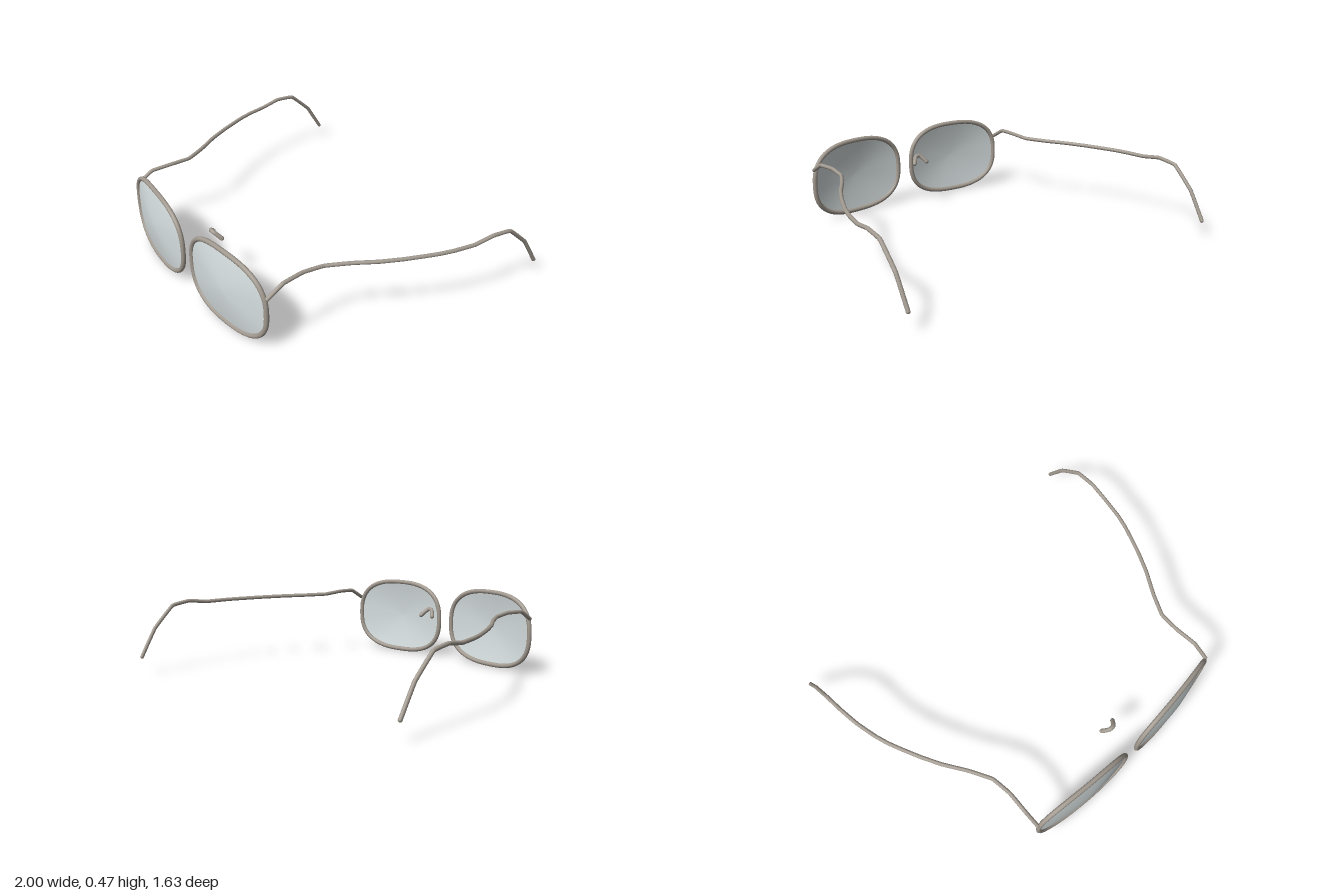
import * as THREE from 'three';

const V = (x, y, z) => new THREE.Vector3(x, y, z);

// Outline of one eye: rounded superellipse, wrapped back towards the temples
const CX = 0.355, CY = 0.236, HALF_W = 0.307, HALF_H = 0.222;
const wrapZ = x => 0.796 - 0.06 * Math.pow(Math.max(0, (x - 0.045) / 0.62), 2);
function outline(t, scale = 1) {
  const p = 2 / 2.6, c = Math.cos(t), s = Math.sin(t);
  return [
    CX + scale * HALF_W * Math.sign(c) * Math.pow(Math.abs(c), p),
    CY + scale * HALF_H * Math.sign(s) * Math.pow(Math.abs(s), p),
  ];
}

// Round wire along points, with rounded ends when open
function wire(name, points, radius, segments, material, { closed = false, tension = 0.5 } = {}) {
  const group = new THREE.Group();
  group.name = name;
  const curve = new THREE.CatmullRomCurve3(points, closed, 'catmullrom', tension);
  const tube = new THREE.Mesh(new THREE.TubeGeometry(curve, segments, radius, 10, closed), material);
  tube.name = name + 'Wire';
  group.add(tube);
  if (!closed) {
    for (const end of [points[0], points[points.length - 1]]) {
      const cap = new THREE.Mesh(new THREE.SphereGeometry(radius, 10, 8), material);
      cap.name = name + 'End';
      cap.position.copy(end);
      group.add(cap);
    }
  }
  return group;
}

// Domed lens made from rings growing from the centre to the rim
function lensGeometry(side) {
  const rings = 10, n = 64, positions = [], index = [];
  for (let r = 0; r <= rings; r++) {
    for (let i = 0; i < n; i++) {
      const s = r / rings;
      const [x, y] = outline((i / n) * Math.PI * 2, s);
      positions.push(side * x, y, wrapZ(x) + 0.028 * (1 - Math.pow(s, 1.6)));
    }
  }
  for (let r = 0; r < rings; r++) {
    for (let i = 0; i < n; i++) {
      const j = (i + 1) % n;
      const a = r * n + i, b = r * n + j, c = a + n, d = b + n;
      if (side > 0) index.push(a, c, d, a, d, b);
      else index.push(a, d, c, a, b, d);
    }
  }
  const g = new THREE.BufferGeometry();
  g.setAttribute('position', new THREE.Float32BufferAttribute(positions, 3));
  g.setIndex(index);
  g.computeVertexNormals();
  return g;
}

// Temple path on the left side, from the rim back to the ear hook
const TEMPLE = [
  [0.665, 0.335, 0.732], [0.665, 0.388, 0.64], [0.655, 0.395, 0.515], [0.665, 0.388, 0.395],
  [0.727, 0.388, 0.27], [0.8, 0.388, 0.15], [0.854, 0.388, 0.04], [0.896, 0.388, -0.06],
  [0.927, 0.388, -0.14], [0.95, 0.388, -0.22], [0.973, 0.388, -0.34], [0.985, 0.404, -0.455],
  [0.989, 0.388, -0.575], [0.989, 0.268, -0.705], [0.989, 0.11, -0.803],
];

export function createModel() {
  const metal = new THREE.MeshStandardMaterial({ color: 0xa29a90 });
  metal.name = 'frameMetal';
  const glass = new THREE.MeshStandardMaterial({ color: 0xd6dedf, side: THREE.DoubleSide });
  glass.name = 'lensGlass';

  const model = new THREE.Group();
  model.name = 'glasses';

  for (const side of [1, -1]) {
    const label = side > 0 ? 'left' : 'right';

    // Rim
    const rim = [];
    for (let i = 0; i < 64; i++) {
      const [x, y] = outline((i / 64) * Math.PI * 2);
      rim.push(V(side * x, y, wrapZ(x)));
    }
    model.add(wire(label + 'Rim', rim, 0.0135, 128, metal, { closed: true }));

    // Lens
    const lens = new THREE.Mesh(lensGeometry(side), glass);
    lens.name = label + 'Lens';
    model.add(lens);

    // Temple
    const path = TEMPLE.map(([x, y, z]) => V(side * x, y, z));
    model.add(wire(label + 'Temple', path, 0.011, 160, metal, { tension: 0.12 }));
  }

  // Nose bridge: small tilted arch set behind the lenses
  const arch = [[-0.043, 0.293, 0.608], [-0.033, 0.308, 0.62], [-0.016, 0.326, 0.636], [0, 0.331, 0.64],
    [0.016, 0.326, 0.636], [0.033, 0.308, 0.62], [0.043, 0.293, 0.608]];
  model.add(wire('noseBridge', arch.map(p => V(...p)), 0.0125, 32, metal));

  return model;
}
